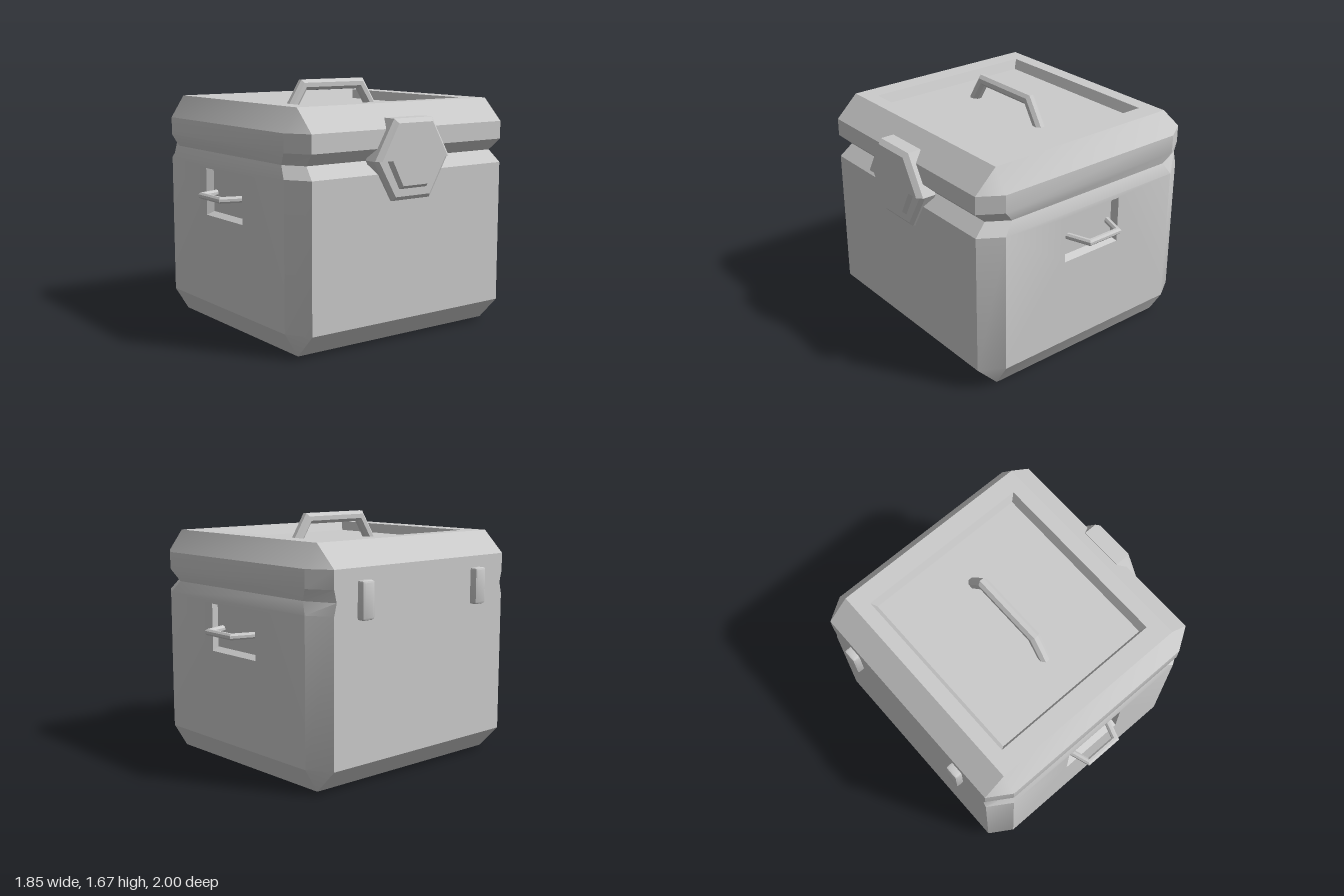
import * as THREE from 'three';
import { mergeGeometries, toCreasedNormals } from 'three/addons/utils/BufferGeometryUtils.js';
import { RoundedBoxGeometry } from 'three/addons/geometries/RoundedBoxGeometry.js';

const material = new THREE.MeshStandardMaterial({ color: 0xcccccc });

// Joins rings of points (counter-clockwise seen from the last ring); cap fills the last ring.
function loft(rings, { cap = false, skip = () => false } = {}) {
  const pos = [];
  const n = rings[0].length;
  for (let k = 0; k + 1 < rings.length; k++) {
    for (let i = 0; i < n; i++) {
      if (skip(k, i)) continue;
      const j = (i + 1) % n, lo = rings[k], hi = rings[k + 1];
      pos.push(...lo[i], ...lo[j], ...hi[j], ...lo[i], ...hi[j], ...hi[i]);
    }
  }
  if (cap) {
    const last = rings[rings.length - 1];
    const flat = last.map((p) => new THREE.Vector2(p[0], p[1]));
    for (const t of THREE.ShapeUtils.triangulateShape(flat, [])) t.forEach((i) => pos.push(...last[i]));
  }
  const g = new THREE.BufferGeometry();
  g.setAttribute('position', new THREE.Float32BufferAttribute(pos, 3));
  return g;
}

function part(name, geometry) {
  const mesh = new THREE.Mesh(toCreasedNormals(geometry, 0.5), material);
  mesh.name = name;
  return mesh;
}

const rect = (x0, y0, x1, y1, z) => [[x0, y0, z], [x1, y0, z], [x1, y1, z], [x0, y1, z]];
const layer = (points, z) => points.map(([x, y]) => [x, y, z]);

// Horizontal eight-sided section: inner/outer x on each side, outer/corner z.
function section(y, left, leftIn, rightIn, right, zOut, zCorner) {
  return [
    [rightIn, y, zOut], [right, y, zCorner], [right, y, -zCorner], [rightIn, y, -zOut],
    [-leftIn, y, -zOut], [-left, y, -zCorner], [-left, y, zCorner], [-leftIn, y, zOut],
  ];
}

// Bar with an octagonal section along a flat path, mitred at the bends.
function bar(path, r) {
  const pts = path.map((p) => new THREE.Vector2(...p));
  const dir = (i) => pts[i + 1].clone().sub(pts[i]).normalize();
  const rings = pts.map((p, i) => {
    const a = dir(Math.max(i - 1, 0)), b = dir(Math.min(i, pts.length - 2));
    const t = a.clone().add(b).normalize(), s = r / t.dot(a);
    return Array.from({ length: 8 }, (_, k) => {
      const c = Math.cos((k + 0.5) * Math.PI / 4) * s * 1.06;
      const w = Math.sin((k + 0.5) * Math.PI / 4) * r * 1.06;
      return [p.x - t.y * c, p.y + t.x * c, w];
    });
  });
  return loft(rings);
}

export function createModel() {
  const model = new THREE.Group();
  model.name = 'coolBox';
  const box = new THREE.Group();
  box.name = 'box';
  box.position.set(-0.006, 0, 0.008);
  model.add(box);

  // Shell: chamfered walls with a groove under the lid that dies out on the hinge side
  const X = 0.87, XI = 0.715, Z = 0.878, ZI = 0.78;
  const full = (y) => section(y, X, XI, XI, X, Z, ZI);
  const end = (y) => section(y, XI, XI, XI, XI, ZI, ZI);
  const shell = loft([
    end(0), full(0.16), full(1.12),
    section(1.2, X, 0.665, 0.645, 0.785, Z - 0.03, ZI - 0.02),
    full(1.28), full(1.4), end(1.55),
  ], { skip: (k, i) => k === 1 && (i === 3 || i === 7) });

  // Front and back walls with a handle pocket, sloped at the bottom and on one side
  const wall = (l, r) => loft([
    rect(-XI, 0.16, XI, 1.12, Z),
    rect(-0.23, 0.77, 0.23, 1.09, Z),
    rect(-0.23 + l, 0.795, 0.23 - r, 1.09, Z - 0.045),
  ], { cap: true });

  // Lid top with a shallow tray, and the flat underside
  const top = loft([
    rect(-XI, -ZI, XI, ZI, 1.55),
    rect(-0.615, -0.648, 0.615, 0.648, 1.55),
    rect(-0.583, -0.624, 0.583, 0.624, 1.485),
  ], { cap: true }).rotateX(-Math.PI / 2);
  const base = loft([rect(-XI, -ZI, XI, ZI, 0), rect(-XI, -ZI, XI, ZI, 0)], { cap: true }).rotateX(Math.PI / 2);
  box.add(part('body', mergeGeometries([
    shell, wall(0.022, 0), wall(0, 0.022).rotateY(Math.PI), top, base,
  ])));

  // Lid handle
  const lidHandle = part('lidHandle',
    bar([[-0.355, 1.46], [-0.242, 1.638], [0.242, 1.638], [0.355, 1.46]], 0.037).rotateY(Math.PI / 2));
  lidHandle.position.set(-0.004, 0, 0.012);
  model.add(lidHandle);

  // Carrying handles on the front and back
  for (const [name, s] of [['frontHandle', 1], ['backHandle', -1]]) {
    const g = bar([[-0.175, 0.82], [-0.122, 0.979], [0.122, 0.979], [0.175, 0.82]], 0.021);
    g.rotateX(Math.PI / 2);
    if (s < 0) g.rotateY(Math.PI);
    const handle = part(name, g);
    handle.position.set(-0.008, 0.925, 0);
    model.add(handle);
  }

  // Latch: bevelled hexagonal frame with a raised plate
  const hex = (a, b, h) => [[-b, -h], [b, -h], [a, 0], [b, h], [-b, h], [-a, 0]];
  const plate = (a, b, h, c, d, low) =>
    [[-a, 0], [-c, 0], [-d, low], [d, low], [c, 0], [a, 0], [b, h], [-b, h]];
  const latch = new THREE.Group();
  latch.name = 'latch';
  const outer = hex(0.305, 0.155, 0.26);
  const raised = plate(0.305, 0.155, 0.26, 0.215, 0.115, -0.19);
  latch.add(
    part('latchFrame', loft([layer(outer, 0.8), layer(outer, 0.88),
      layer(hex(0.275, 0.14, 0.235), 0.9)], { cap: true })),
    part('latchPlate', loft([layer(raised, 0.8), layer(raised, 0.895),
      layer(plate(0.27, 0.138, 0.232, 0.185, 0.1, -0.165), 0.926)], { cap: true })),
    part('latchBack', loft([layer(outer, 0), layer(outer, 0)], { cap: true }).rotateY(Math.PI).translate(0, 0, 0.8)),
  );
  latch.rotation.y = Math.PI / 2;
  latch.position.set(0, 1.205, 0.03);
  model.add(latch);

  // Hinges
  for (const [name, z] of [['backHinge', -0.53], ['frontHinge', 0.51]]) {
    const hinge = part(name, new RoundedBoxGeometry(0.08, 0.245, 0.1, 1, 0.015));
    hinge.position.set(-0.887, 1.2, z);
    model.add(hinge);
  }
  return model;
}
